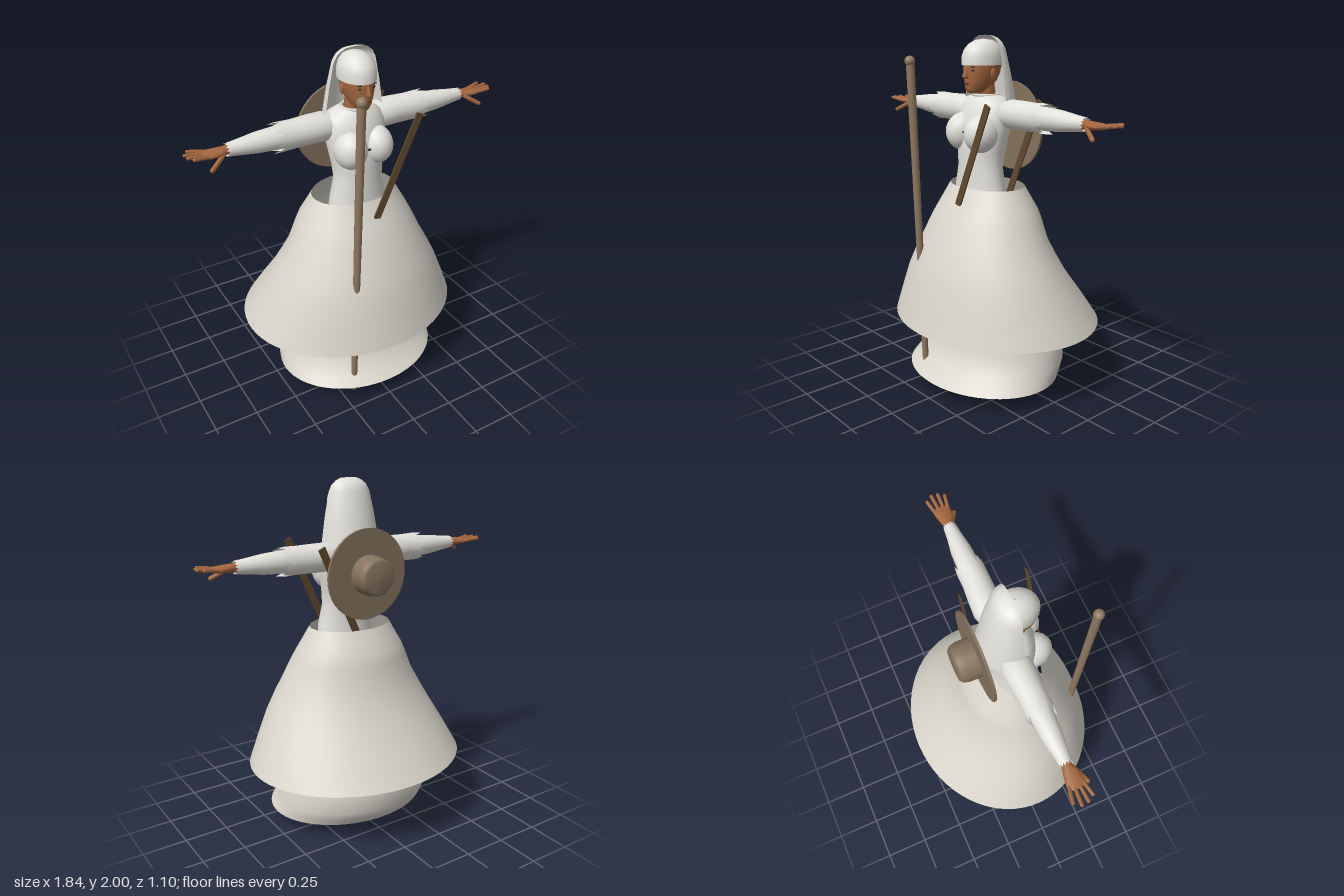
import * as THREE from 'three';

const mat = (name, color, side = THREE.FrontSide) => {
  const m = new THREE.MeshStandardMaterial({ color, side });
  m.name = name;
  return m;
};

// Skin of elliptical rings, listed bottom to top as [y, halfWidth, zFront, zBack]
function loft(sections, { n = 40, a0 = 0, a1 = Math.PI * 2, zig = 0 } = {}) {
  const closed = a1 - a0 > 6.28, cols = closed ? n : n + 1, pos = [], idx = [];
  sections.forEach(([y, rx, zf, zb], i) => {
    for (let j = 0; j < cols; j++) {
      const a = a0 + (a1 - a0) * j / n;
      const jag = i === sections.length - 1 && j % 2 ? zig : 0;
      pos.push(rx * Math.sin(a), y + jag, (zf + zb) / 2 + (zf - zb) / 2 * Math.cos(a));
    }
  });
  for (let i = 0; i < sections.length - 1; i++)
    for (let j = 0; j < n; j++) {
      const k = (j + 1) % cols, p = i * cols, q = p + cols;
      idx.push(p + j, p + k, q + j, p + k, q + k, q + j);
    }
  const g = new THREE.BufferGeometry();
  g.setAttribute('position', new THREE.Float32BufferAttribute(pos, 3));
  g.setIndex(idx);
  g.computeVertexNormals();
  return g;
}

// Mirrored copy across x = 0 with corrected winding
function mirrored(geo) {
  const g = geo.clone().scale(-1, 1, 1), ix = g.index.array;
  for (let i = 0; i < ix.length; i += 3) [ix[i], ix[i + 1]] = [ix[i + 1], ix[i]];
  g.computeVertexNormals();
  return g;
}

// Tapered rod or rounded finger between two points
function rod(a, b, r0, r1 = r0, round = false) {
  const A = new THREE.Vector3(...a), B = new THREE.Vector3(...b), d = B.clone().sub(A), len = d.length();
  const g = round ? new THREE.CapsuleGeometry(r0, len, 4, 8) : new THREE.CylinderGeometry(r1, r0, len, 12);
  g.applyQuaternion(new THREE.Quaternion().setFromUnitVectors(new THREE.Vector3(0, 1, 0), d.normalize()));
  return g.translate(...A.add(B).multiplyScalar(0.5).toArray());
}

export function createModel() {
  const group = new THREE.Group();
  const shirt = mat('shirt white', 0xe2e0da, THREE.DoubleSide);
  const cloth = mat('skirt white', 0xd9d5cb, THREE.DoubleSide);
  const skin = mat('skin', 0xa2663f);
  const leather = mat('shoe leather', 0x65503a);
  const wood = mat('staff wood', 0x8f7860);
  const felt = mat('hat felt', 0x84725d);
  const strap = mat('strap brown', 0x60492f);
  const dark = mat('dark detail', 0x2c2420);
  const lip = mat('lips', 0x7a4030);
  const add = (name, geo, m) => {
    const mesh = new THREE.Mesh(geo, m);
    mesh.name = name;
    group.add(mesh);
    return mesh;
  };
  const pair = (name, geo, m) => {
    add(name + 'Left', geo, m);
    add(name + 'Right', mirrored(geo), m);
  };
  const ball = (x, y, z, sx, sy, sz) => new THREE.SphereGeometry(1, 20, 14).scale(sx, sy, sz).translate(x, y, z);

  // Skirts, open at the hem
  add('overskirt', loft([
    [0.41, 0.645, 0.55, -0.545], [0.55, 0.58, 0.515, -0.445], [0.69, 0.51, 0.48, -0.34],
    [0.79, 0.455, 0.445, -0.285], [0.89, 0.4, 0.4, -0.235], [1.0, 0.35, 0.35, -0.21],
    [1.06, 0.32, 0.315, -0.19], [1.12, 0.285, 0.28, -0.155], [1.19, 0.245, 0.24, -0.115]], { n: 64 }), cloth);
  add('underskirt', loft([
    [0.1, 0.485, 0.49, -0.29], [0.14, 0.475, 0.44, -0.315], [0.19, 0.465, 0.385, -0.34], [0.28, 0.445, 0.335, -0.34],
    [0.41, 0.415, 0.32, -0.32], [0.6, 0.36, 0.31, -0.26], [0.85, 0.27, 0.28, -0.15], [1.1, 0.18, 0.225, -0.02]],
    { n: 64 }), cloth);

  // Bodice
  add('bodice', loft([
    [1.0, 0.17, 0.22, -0.02], [1.1, 0.175, 0.23, -0.01], [1.19, 0.165, 0.228, 0], [1.3, 0.138, 0.222, 0],
    [1.38, 0.145, 0.225, -0.02], [1.46, 0.16, 0.222, -0.035], [1.54, 0.17, 0.205, -0.055], [1.6, 0.175, 0.185, -0.065],
    [1.645, 0.155, 0.165, -0.055], [1.672, 0.11, 0.145, -0.02], [1.685, 0.075, 0.135, 0]]), shirt);
  pair('bust', ball(0.078, 1.485, 0.165, 0.088, 0.105, 0.105), shirt);
  add('collar', new THREE.TorusGeometry(0.068, 0.008, 6, 32).rotateX(Math.PI / 2).translate(0, 1.685, 0.07), shirt);
  add('brooch', ball(0, 1.492, 0.226, 0.016, 0.005, 0.008), dark);

  // Sleeves are lofted upwards, then laid along x
  const sleeve = (sections, opts) => loft(sections, opts).rotateZ(-Math.PI / 2).translate(0, 1.59, 0);
  pair('upperSleeve', sleeve([
    [0.1, 0.06, 0.1, -0.03], [0.17, 0.078, 0.12, -0.05], [0.25, 0.078, 0.115, -0.045],
    [0.35, 0.076, 0.115, -0.035], [0.42, 0.079, 0.115, -0.035]], { n: 24, zig: 0.045 }), shirt);
  pair('lowerSleeve', sleeve([
    [0.36, 0.062, 0.105, -0.025], [0.46, 0.06, 0.1, -0.02], [0.55, 0.054, 0.095, -0.015],
    [0.64, 0.042, 0.083, 0], [0.7, 0.034, 0.075, 0.008]], { n: 24, zig: 0.015 }), shirt);

  // Hands
  pair('palm', sleeve([
    [0.66, 0.025, 0.066, 0.018], [0.71, 0.024, 0.066, 0.016], [0.75, 0.021, 0.085, 0.005],
    [0.8, 0.017, 0.09, -0.005], [0.83, 0.012, 0.085, 0], [0.835, 0.001, 0.045, 0.04]], { n: 20 }), skin);
  [[0.005, 0.885, -0.012], [0.03, 0.91, 0.022], [0.055, 0.905, 0.058], [0.077, 0.885, 0.09]].forEach(([z0, x1, z1], i) =>
    pair('finger' + (i + 1), rod([0.81, 1.592, z0], [x1, 1.602, z1], 0.01, 0.01, true), skin));
  pair('thumb', rod([0.735, 1.58, 0.07], [0.81, 1.535, 0.11], 0.012, 0.012, true), skin);

  // Neck, head and face
  add('neck', rod([0, 1.64, 0.065], [0, 1.8, 0.085], 0.056, 0.05), skin);
  add('head', loft([
    [1.695, 0.005, 0.165, 0.15], [1.7, 0.032, 0.193, 0.09], [1.725, 0.052, 0.204, 0.05], [1.76, 0.07, 0.205, 0.01],
    [1.8, 0.082, 0.207, -0.01], [1.84, 0.088, 0.208, -0.02], [1.9, 0.088, 0.2, -0.02], [1.95, 0.06, 0.16, 0.02]]), skin);
  add('nose', loft([
    [1.773, 0.003, 0.208, 0.19], [1.78, 0.017, 0.225, 0.185], [1.79, 0.014, 0.234, 0.185],
    [1.815, 0.009, 0.221, 0.185], [1.84, 0.007, 0.21, 0.185]], { n: 12 }), skin);
  add('lips', ball(0, 1.75, 0.203, 0.024, 0.007, 0.006), lip);
  pair('eye', ball(0.036, 1.82, 0.193, 0.016, 0.006, 0.005), dark);
  pair('brow', ball(0.037, 1.838, 0.195, 0.021, 0.004, 0.006), dark);
  pair('ear', ball(0.085, 1.8, 0.09, 0.008, 0.03, 0.018), skin);

  // Head cap and veil
  add('cap', loft([
    [1.845, 0.096, 0.215, -0.03], [1.89, 0.097, 0.214, -0.03], [1.925, 0.088, 0.2, -0.02],
    [1.955, 0.068, 0.172, 0], [1.973, 0.042, 0.135, 0.035], [1.98, 0.002, 0.09, 0.086]]), shirt);
  const veilRows = [[1.54, 0.185, 0.18], [1.67, 0.17, 0.155], [1.8, 0.15, 0.13], [1.93, 0.123, 0.098],
    [1.965, 0.105, 0.078], [1.985, 0.08, 0.058], [1.998, 0.05, 0.025], [2.0, 0.001, 0.001]];
  add('veil', loft(veilRows.map(([y, w, d]) => [y, w, 0.075 + d, 0.075 - d]),
    { n: 32, a0: Math.PI / 2, a1: Math.PI * 1.5 }), shirt);

  // Legs and shoes; shoes are lofted from heel to toe, then laid along z
  pair('leg', rod([0.13, 0.05, -0.005], [0.11, 0.75, 0.03], 0.036, 0.06), skin);
  pair('shoe', loft([
    [-0.045, 0.004, -0.03, -0.05], [-0.04, 0.035, -0.01, -0.08], [0, 0.045, -0.01, -0.095], [0.05, 0.046, -0.01, -0.1],
    [0.11, 0.055, -0.01, -0.08], [0.17, 0.064, -0.01, -0.062], [0.22, 0.054, -0.01, -0.05],
    [0.245, 0.03, -0.015, -0.042], [0.25, 0.003, -0.025, -0.03]], { n: 24 })
    .rotateX(Math.PI / 2).translate(0.138, 0, 0), leather);
  pair('sole', loft([
    [-0.044, 0.006, 0, -0.02], [-0.035, 0.034, 0, -0.022], [0.04, 0.042, 0, -0.022],
    [0.16, 0.06, 0, -0.022], [0.22, 0.05, 0, -0.022], [0.248, 0.006, -0.005, -0.02]], { n: 20 })
    .rotateX(Math.PI / 2).translate(0.138, 0.005, 0), leather);

  // Walking staff
  add('staff', rod([-0.18, 0.03, 0.385], [-0.18, 1.86, 0.438], 0.017, 0.023), wood);
  add('staffKnob', ball(-0.18, 1.868, 0.44, 0.028, 0.028, 0.028), wood);

  // Straps in front of and behind the body
  for (const [name, z] of [['frontStrap', 0.287], ['backStrap', -0.083]]) {
    const s = add(name, new THREE.BoxGeometry(0.042, 0.615, 0.008), strap);
    s.position.set(0.142, 1.38, z);
    s.rotation.z = -Math.atan2(0.25, 0.56);
  }

  // Broad hat carried on the back
  const brim = add('hatBrim', new THREE.CylinderGeometry(0.25, 0.25, 0.014, 40).rotateX(Math.PI / 2), felt);
  brim.position.set(0.002, 1.5, -0.115);
  const crown = [[0.108, 0], [0.108, 0.07], [0.1, 0.105], [0.085, 0.12], [0, 0.125]].map(p => new THREE.Vector2(...p));
  const top = add('hatCrown', new THREE.LatheGeometry(crown, 32).rotateX(-Math.PI / 2), felt);
  top.position.set(0.002, 1.5, -0.118);

  return group;
}
